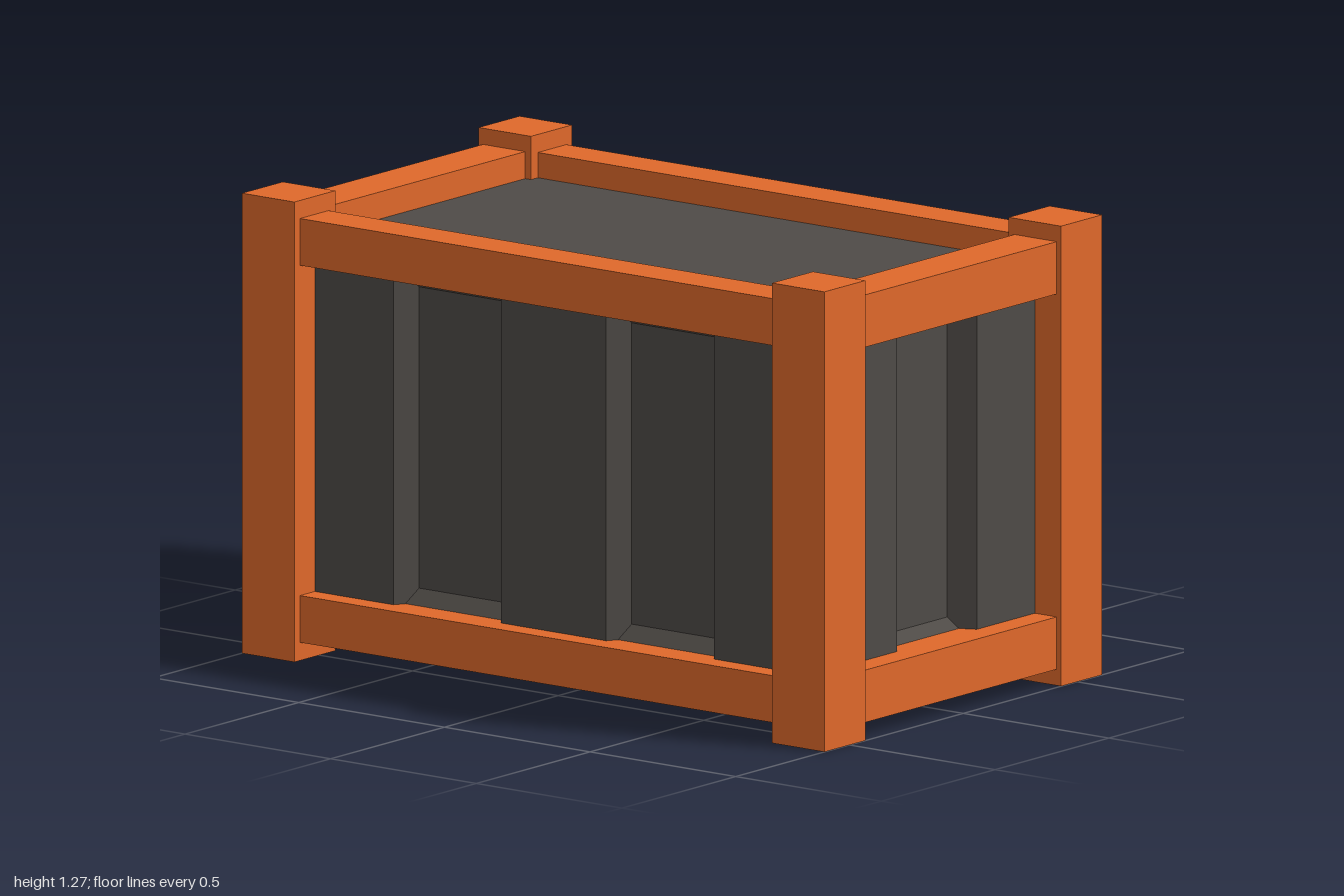
import * as THREE from 'three';

const orange = new THREE.MeshStandardMaterial({ color: 0xe0692b, flatShading: true });
const dark = new THREE.MeshStandardMaterial({ color: 0x4f4b47, flatShading: true });

function add(parent, name, geometry, material, x = 0, y = 0, z = 0) {
  const mesh = new THREE.Mesh(geometry, material);
  mesh.name = name;
  mesh.position.set(x, y, z);
  parent.add(mesh);
  return mesh;
}

// Corners of a rectangle, counter-clockwise
const corners = (x0, x1, y0, y1) => [[x0, y0], [x1, y0], [x1, y1], [x0, y1]];

// Bevelled pocket: four sloping sides and a floor
function pocketGeometry(outer, inner, depth) {
  const points = [...outer.map(([x, y]) => [x, y, 0]), ...inner.map(([x, y]) => [x, y, -depth])];
  const index = [4, 5, 6, 4, 6, 7];
  for (let k = 0; k < 4; k++) {
    const n = (k + 1) % 4;
    index.push(k, n, n + 4, k, n + 4, k + 4);
  }
  const indexed = new THREE.BufferGeometry();
  indexed.setAttribute('position', new THREE.Float32BufferAttribute(points.flat(), 3));
  indexed.setIndex(index);
  const geometry = indexed.toNonIndexed();
  geometry.computeVertexNormals();
  return geometry;
}

const BOTTOM = 0.12, TOP = 1.155;

// Wall facing +z with a pocket at each given centre
function createWall(name, halfWidth, centres, halfPocket, bevel, depth) {
  const wall = new THREE.Group();
  wall.name = name;
  const toVectors = (list) => list.map(([x, y]) => new THREE.Vector2(x, y));
  const face = new THREE.Shape(toVectors(corners(-halfWidth, halfWidth, BOTTOM, TOP)));
  for (const c of centres) {
    const outer = corners(c - halfPocket, c + halfPocket, 0.145, 1.13);
    const inner = corners(c - halfPocket + bevel, c + halfPocket - bevel, 0.22, 1.055);
    face.holes.push(new THREE.Path(toVectors(outer)));
    add(wall, 'recessedPanel', pocketGeometry(outer, inner, depth), dark);
  }
  add(wall, 'wallFace', new THREE.ShapeGeometry(face), dark);
  return wall;
}

export function createModel() {
  const model = new THREE.Group();
  model.name = 'crate';

  // Corner posts
  const post = new THREE.BoxGeometry(0.18, 1.275, 0.18);
  for (const x of [-0.52, 0.52]) {
    for (const z of [-0.91, 0.91]) add(model, 'cornerPost', post, orange, x, 0.6375, z);
  }

  // Rails between the posts, bottom and top
  const endRail = new THREE.BoxGeometry(0.86, 0.145, 0.145);
  const sideRail = new THREE.BoxGeometry(0.125, 0.13, 1.64);
  for (const s of [-1, 1]) {
    for (const t of [-1, 1]) {
      add(model, 'endRail', endRail, orange, 0, 0.6375 + t * 0.52, s * 0.9125);
      add(model, 'sideRail', sideRail, orange, s * 0.5225, 0.6375 + t * 0.5225, 0);
    }
  }

  // Container body: pocketed walls, lid and floor
  const body = new THREE.Group();
  body.name = 'body';
  model.add(body);
  for (const s of [1, -1]) {
    const end = createWall(s > 0 ? 'frontWall' : 'backWall', 0.52, [0], 0.175, 0.035, 0.075);
    end.position.z = s * 0.91;
    end.rotation.y = s > 0 ? 0 : Math.PI;
    const side = createWall(s > 0 ? 'leftWall' : 'rightWall', 0.91, [-0.365, 0.365], 0.185, 0.037, 0.065);
    side.position.x = s * 0.52;
    side.rotation.y = s * Math.PI / 2;
    body.add(end, side);
  }
  const plate = new THREE.PlaneGeometry(1.04, 1.82);
  add(body, 'lid', plate, dark, 0, TOP, 0).rotation.x = -Math.PI / 2;
  add(body, 'floor', plate, dark, 0, BOTTOM, 0).rotation.x = Math.PI / 2;

  return model;
}
